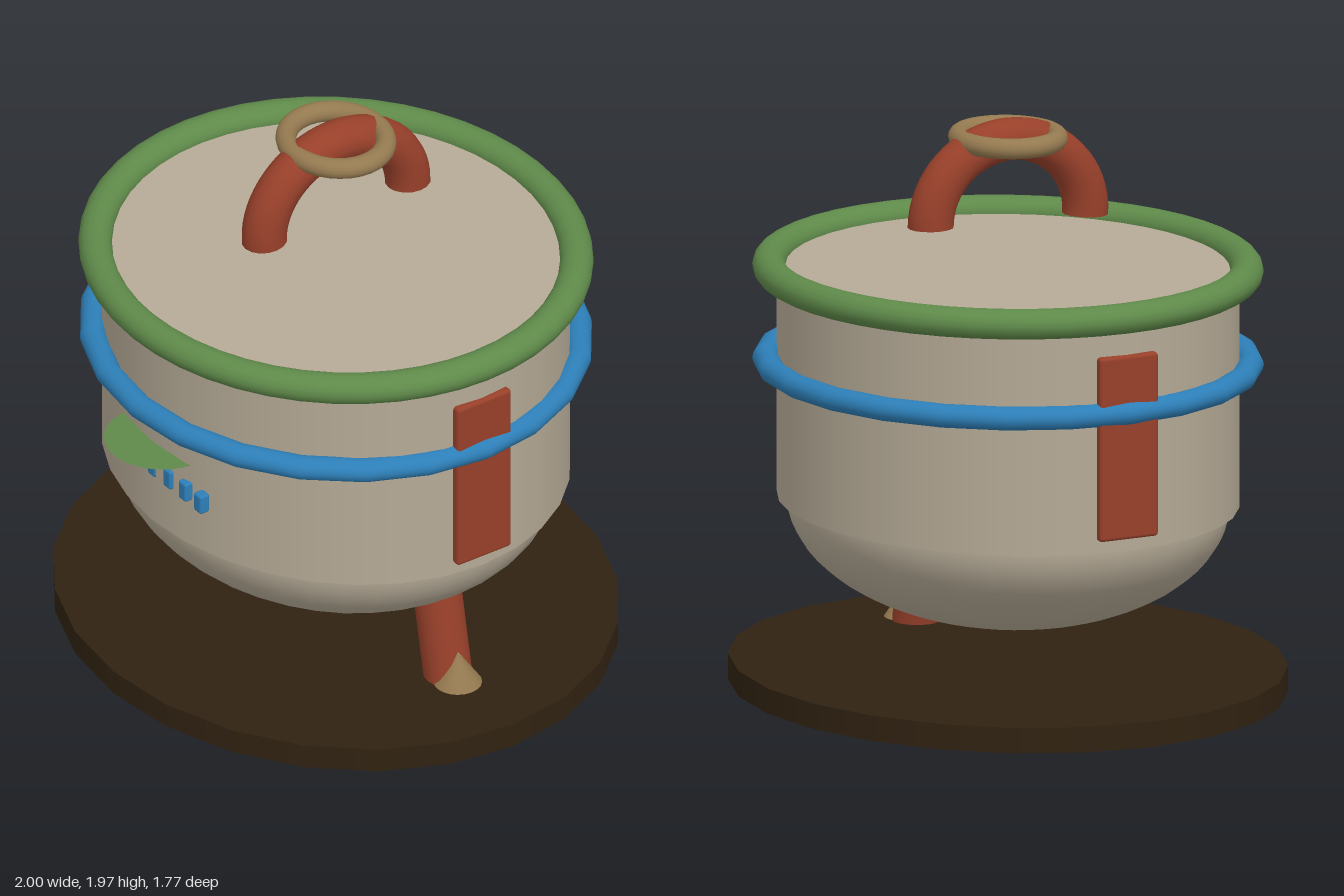
import * as THREE from 'three';
import { RoundedBoxGeometry } from 'three/addons/geometries/RoundedBoxGeometry.js';

const mat = (name, color, side = THREE.FrontSide) => {
  const m = new THREE.MeshStandardMaterial({ color, side });
  m.name = name;
  return m;
};

export function createModel() {
  const group = new THREE.Group();
  const stone = mat('warm grey', 0xb5aa96);
  const rust = mat('rust red', 0x98402a);
  const green = mat('leaf green', 0x5f8a4a, THREE.DoubleSide);
  const blue = mat('blue', 0x2d7fb8);
  const brown = mat('dark brown', 0x302211);
  const tan = mat('tan', 0x957a50);

  const add = (name, geometry, material, x = 0, y = 0, z = 0) => {
    const mesh = new THREE.Mesh(geometry, material);
    mesh.name = name;
    mesh.position.set(x, y, z);
    group.add(mesh);
    return mesh;
  };

  // Horizontal oval ring: outer half-widths in x and z, tube radius
  const ring = (name, material, y, outX, outZ, tube, tubeY, segments) => {
    const g = new THREE.TorusGeometry(outX - tube, tube, 16, segments);
    g.rotateX(Math.PI / 2);
    g.scale(1, tubeY / tube, outZ / outX);
    return add(name, g, material, 0, y);
  };

  // Oval base plate
  const base = new THREE.CylinderGeometry(1, 1, 0.085, 24);
  base.scale(1, 1, 0.885);
  add('basePlate', base, brown, 0, 0.122);

  // Pot wall with flat lid, and rounded bottom
  const wall = new THREE.CylinderGeometry(0.83, 0.83, 0.775, 32);
  wall.scale(1, 1, 0.88);
  add('potBody', wall, stone, 0, 1.0875);
  const bowl = new THREE.SphereGeometry(1, 40, 16, 0, Math.PI * 2, Math.PI / 2, Math.PI / 2);
  bowl.scale(0.79, 0.4, 0.7);
  add('potBottom', bowl, stone, 0, 0.7);

  // Rim and band
  ring('rim', green, 1.475, 0.875, 0.82, 0.057, 0.05, 48);
  ring('band', blue, 1.162, 0.875, 0.82, 0.045, 0.039, 24);

  // Side panels
  for (const s of [-1, 1]) {
    add(s > 0 ? 'leftPanel' : 'rightPanel',
      new RoundedBoxGeometry(0.06, 0.615, 0.215, 2, 0.012), rust, s * 0.815, 1.048);
  }

  // Arched handle with a ring around its top
  const arch = new THREE.TorusGeometry(0.285, 0.076, 16, 32, 3.2);
  arch.rotateY(Math.PI / 2);
  arch.scale(0.95, 0.925, 1);
  add('handle', arch, rust, 0, 1.64);
  ring('handleRing', tan, 1.91, 0.208, 0.192, 0.036, 0.034, 32);

  // Row of buttons on the front
  for (let i = 0; i < 4; i++) {
    add('button' + (i + 1), new RoundedBoxGeometry(0.042, 0.07, 0.038, 2, 0.009), blue,
      i * 0.087, 0.91, 0.717);
  }

  // Thin half-round ledge above the buttons
  const ledge = new THREE.CircleGeometry(0.19, 24, Math.PI, Math.PI);
  ledge.rotateX(-Math.PI / 2);
  add('ledge', ledge, green, 0, 1.01, 0.69);

  // Slanted leg with a cone beside it
  const leg = new THREE.CylinderGeometry(0.08, 0.08, 0.55, 20);
  leg.translate(0, 0.275, 0);
  add('leg', leg, rust, 0.663, 0.02).rotation.z = 0.2;
  add('legCone', new THREE.ConeGeometry(0.125, 0.185, 20), tan, 0.69, 0.19);

  return group;
}
